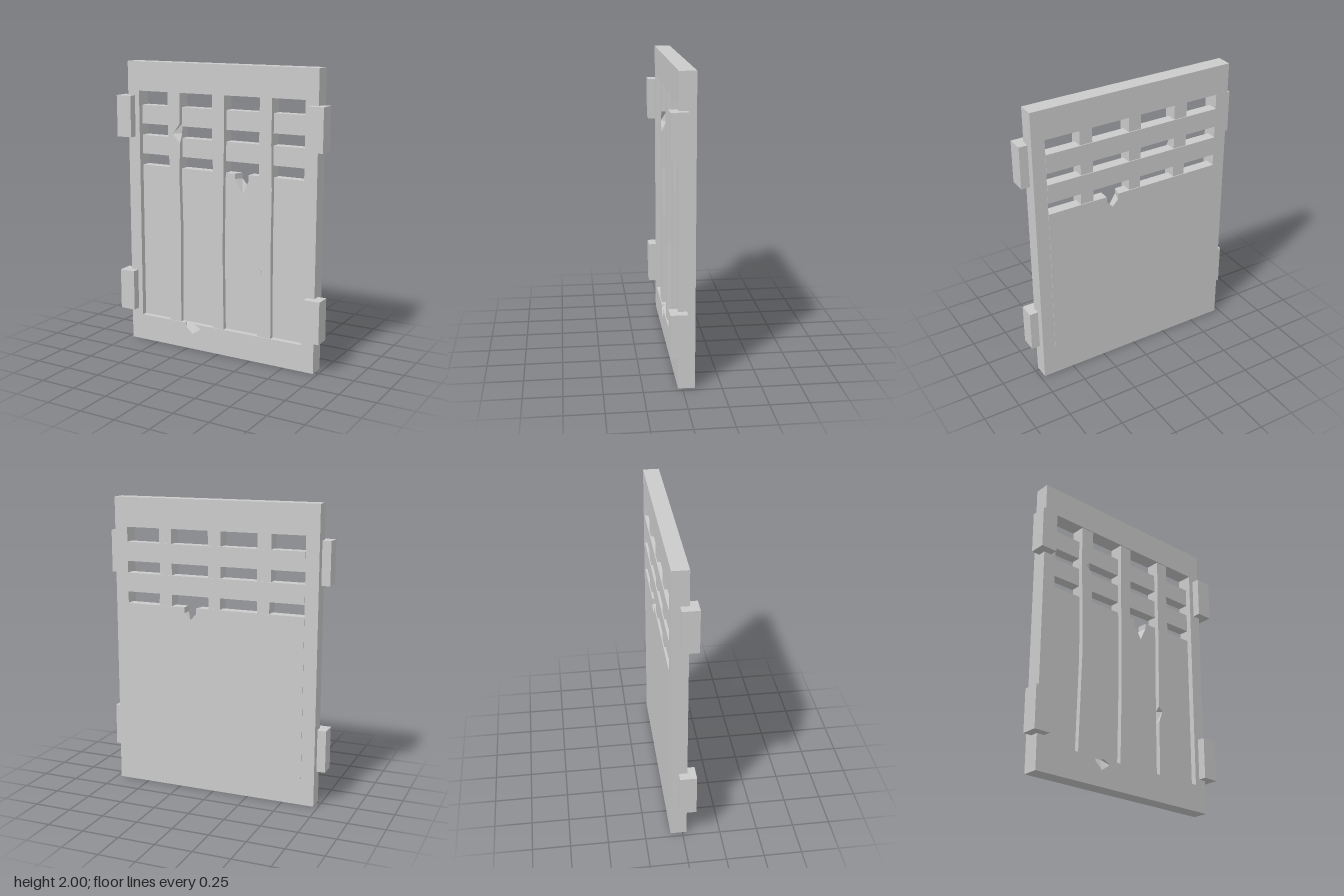
import * as THREE from 'three';

const material = new THREE.MeshStandardMaterial({ color: 0xcccccc, flatShading: true });
const FRONT = 0.028, BACK = -0.08, PANEL_BACK = -0.083, PANEL_FRONT = -0.01;
const INNER = 0.63, SILL = 0.185, HEAD = 1.8;

const toPoints = (list) => list.map(([x, y]) => new THREE.Vector2(x, y));

// Extrudes an outline; each chip [x, y, x2, y2] is a front corner that moves to (x2, y2) behind the front face
function slab(name, outline, z0, z1, { hole, chips = [], steps = 1 } = {}) {
  const shape = new THREE.Shape(toPoints(outline));
  if (hole) shape.holes.push(new THREE.Path(toPoints(hole)));
  const depth = z1 - z0;
  const geometry = new THREE.ExtrudeGeometry(shape, { depth, steps, bevelEnabled: false });
  const pos = geometry.attributes.position;
  for (let i = 0; i < pos.count; i++) {
    if (pos.getZ(i) > depth - 1e-4) continue;
    const chip = chips.find(([x, y]) => Math.abs(pos.getX(i) - x) + Math.abs(pos.getY(i) - y) < 1e-4);
    if (chip) pos.setXY(i, chip[2], chip[3]);
  }
  geometry.translate(0, 0, z0);
  geometry.computeVertexNormals();
  const mesh = new THREE.Mesh(geometry, material);
  mesh.name = name;
  return mesh;
}

function box(name, x0, x1, y0, y1, z0, z1) {
  const mesh = new THREE.Mesh(new THREE.BoxGeometry(x1 - x0, y1 - y0, z1 - z0), material);
  mesh.position.set((x0 + x1) / 2, (y0 + y1) / 2, (z0 + z1) / 2);
  mesh.name = name;
  return mesh;
}

export function createModel() {
  const door = new THREE.Group();
  door.name = 'door';

  // Outer frame, with a chip in the front edge of the bottom rail
  const railChip = [[-0.26, 0.155], [-0.21, 0.11], [-0.145, 0.155]];
  door.add(slab('frame', [[-0.72, 0], [0.72, 0], [0.72, 2], [-0.72, 2]], BACK, FRONT, {
    hole: [[-INNER, SILL], [-0.27, SILL], ...railChip, [-0.195, SILL], [INNER, SILL], [INNER, HEAD], [-INNER, HEAD]],
    chips: [[-0.26, 0.155, -0.255, SILL], [-0.21, 0.11, -0.205, SILL], [-0.145, 0.155, -0.197, SILL]],
    steps: 4,
  }));

  // Lower panel, with a notch broken through its top edge
  const top = 1.28;
  door.add(slab('panel', [
    [-INNER, SILL], [INNER, SILL], [INNER, top], [0.21, top], [0.21, 1.24],
    [0.165, 1.145], [0.105, 1.245], [0.105, top], [-INNER, top],
  ], PANEL_BACK, PANEL_FRONT, {
    chips: [[0.165, 1.145, 0.165, 1.195], [0.105, 1.245, 0.125, 1.24], [0.105, top, 0.125, top]],
  }));

  // Horizontal bars across the window
  for (const y of [1.36, 1.57]) {
    door.add(box('windowBar', -INNER, INNER, y, y + 0.13, PANEL_BACK, PANEL_FRONT));
  }

  // Slightly uneven upright battens: left edge going up, right edge going down
  const battens = [
    {
      left: [[-0.398, SILL], [-0.38, 0.85], [-0.388, 1.25], [-0.4, 1.5], [-0.4, HEAD]],
      right: [[-0.305, HEAD], [-0.305, 1.59], [-0.36, 1.52], [-0.305, 1.455], [-0.31, 1.2], [-0.302, 0.85], [-0.307, SILL]],
      chips: [[-0.36, 1.52, -0.306, 1.52]],
    },
    {
      left: [[-0.05, SILL], [-0.04, 0.75], [-0.043, 1.2], [-0.05, 1.5], [-0.05, HEAD]],
      right: [[0.04, HEAD], [0.04, 1.5], [0.035, 1.2], [0.03, 0.75], [0.038, SILL]],
    },
    {
      left: [[0.3, SILL], [0.3, 0.56], [0.33, 0.64], [0.3, 0.67], [0.305, 1.2], [0.302, 1.5], [0.305, HEAD]],
      right: [[0.393, HEAD], [0.39, 1.5], [0.398, 1.2], [0.395, 0.85], [0.4, SILL]],
      chips: [[0.33, 0.64, 0.301, 0.64]],
    },
  ];
  for (const { left, right, chips } of battens) {
    door.add(slab('batten', [...left, ...right], -0.077, 0.022, { chips, steps: 3 }));
  }

  // Hinge blocks on both sides
  for (const side of [-1, 1]) {
    for (const y of [0.23, 1.48]) {
      const centre = side * 0.722;
      door.add(box('hingeBlock', centre - 0.057, centre + 0.057, y, y + 0.287, -0.027, 0.083));
    }
  }
  return door;
}
